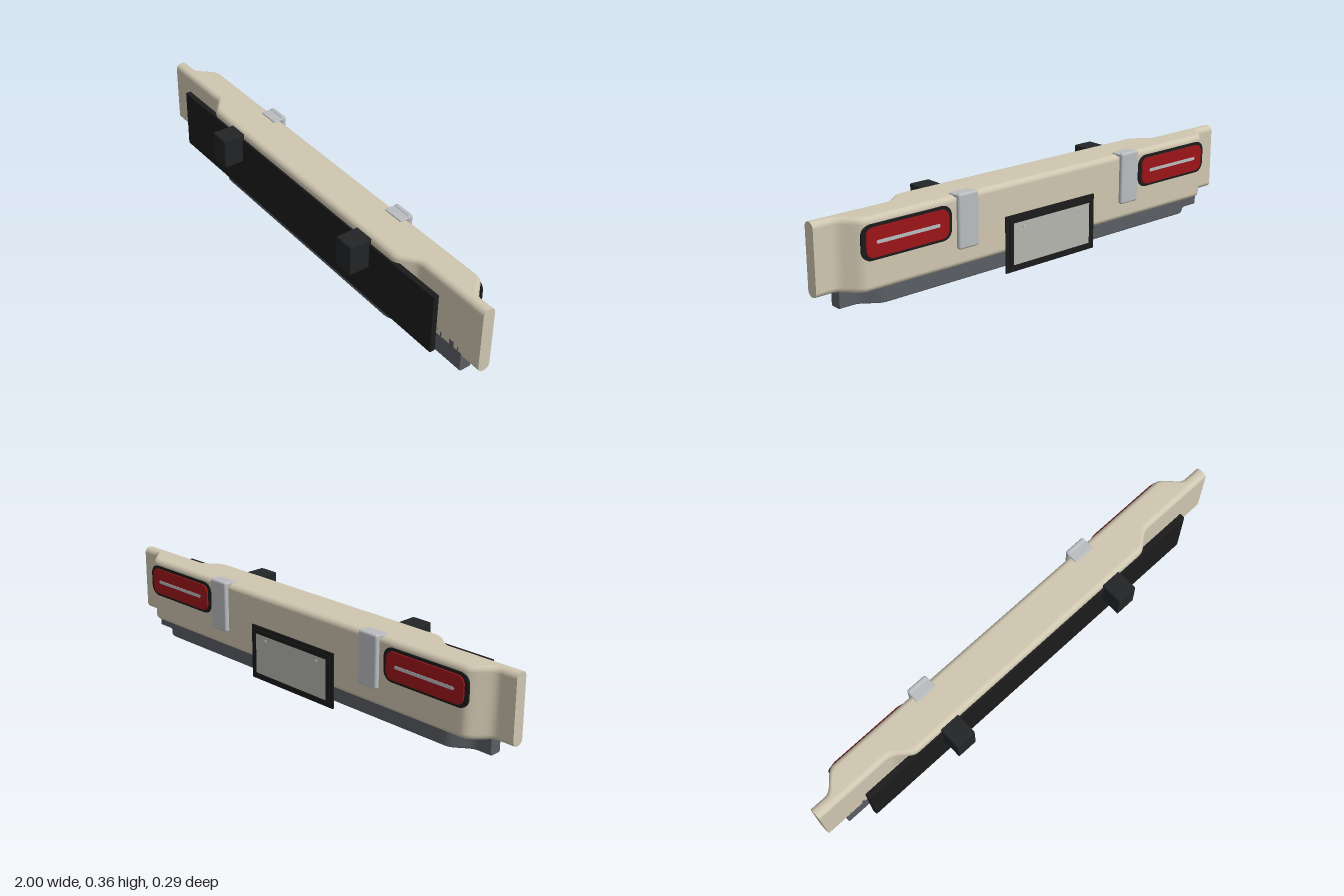
import * as THREE from 'three';
import { RoundedBoxGeometry } from 'three/addons/geometries/RoundedBoxGeometry.js';

const mat = (color) => new THREE.MeshStandardMaterial({ color });
const paint = mat(0xcfc6b0), skirtGrey = mat(0x5a5d63), black = mat(0x1b1b1c), bracketBlack = mat(0x222426);
const silver = mat(0xb9bcc0), red = mat(0x9c1519), plateGrey = mat(0xb5b5b0);

function add(parent, name, geometry, material, x = 0, y = 0, z = 0) {
  const mesh = new THREE.Mesh(geometry, material);
  mesh.name = name;
  mesh.position.set(x, y, z);
  parent.add(mesh);
  return mesh;
}

// Linear interpolation through [x, z] points, averaged over a small window to soften the bends
function softLine(points, x) {
  const at = (v) => {
    for (let i = 1; i < points.length; i++) {
      const [x0, z0] = points[i - 1], [x1, z1] = points[i];
      if (v <= x1) return THREE.MathUtils.lerp(z0, z1, (v - x0) / (x1 - x0));
    }
    return points[points.length - 1][1];
  };
  let sum = 0;
  for (let k = -4; k <= 4; k++) sum += at(Math.abs(x) + k * 0.004);
  return sum / 9;
}

// Rounded-rectangle section swept along x, its front and back edges following two plan lines
function sweptBar(halfLength, y0, y1, radius, front, back) {
  const xs = [];
  for (let i = 0; i <= 50; i++) xs.push(halfLength * (0.5 + i * 0.01));
  const stations = [...xs.map((x) => -x).reverse(), ...xs];
  const ring = [];
  for (let c = 0; c < 4; c++) for (let k = 0; k <= 6; k++) ring.push([c, (c + k / 6) * Math.PI / 2]);
  const n = ring.length, pos = [], index = [];
  const section = (x) => {
    const zf = softLine(front, x), zb = softLine(back, x);
    for (const [c, a] of ring) {
      const cz = (c === 0 || c === 3) ? zb + radius : zf - radius;
      const cy = c < 2 ? y1 - radius : y0 + radius;
      pos.push(x, cy + Math.sin(a) * radius, cz - Math.cos(a) * radius);
    }
  };
  stations.forEach(section);
  for (let i = 0; i < stations.length - 1; i++) {
    for (let j = 0; j < n; j++) {
      const a = i * n + j, b = i * n + (j + 1) % n;
      index.push(a, b, a + n, b, b + n, a + n);
    }
  }
  // Flat end caps with their own vertices
  for (const side of [-1, 1]) {
    const s = pos.length / 3;
    section(side * halfLength);
    for (let j = 1; j < n - 1; j++) {
      if (side > 0) index.push(s, s + j, s + j + 1);
      else index.push(s, s + j + 1, s + j);
    }
  }
  const geo = new THREE.BufferGeometry();
  geo.setAttribute('position', new THREE.Float32BufferAttribute(pos, 3));
  geo.setIndex(index);
  geo.computeVertexNormals();
  return geo;
}

function roundedRect(path, w, h, r) {
  const x = w / 2, y = h / 2;
  path.moveTo(-x + r, -y);
  path.absarc(x - r, -y + r, r, -Math.PI / 2, 0);
  path.absarc(x - r, y - r, r, 0, Math.PI / 2);
  path.absarc(-x + r, y - r, r, Math.PI / 2, Math.PI);
  path.absarc(-x + r, -y + r, r, Math.PI, Math.PI * 1.5);
  path.closePath();
  return path;
}

// Rounded slab centred on its origin, optionally with a rectangular opening
function slab(w, h, r, depth, opening) {
  const shape = roundedRect(new THREE.Shape(), w, h, r);
  if (opening) shape.holes.push(roundedRect(new THREE.Path(), opening[0], opening[1], 0.003));
  return new THREE.ExtrudeGeometry(shape, { depth, bevelEnabled: false, curveSegments: 8 }).translate(0, 0, -depth / 2);
}

export function createModel() {
  const bumper = new THREE.Group();
  bumper.name = 'bumper';

  // Painted beam and the grey skirt below it
  add(bumper, 'beam', sweptBar(1, 0.08, 0.352, 0.022,
    [[0, 0.055], [0.59, 0.055], [0.66, 0], [1.1, 0]],
    [[0, -0.121], [0.85, -0.121], [0.915, -0.05], [1.1, -0.05]]), paint);
  add(bumper, 'lowerSkirt', sweptBar(0.91, 0.02, 0.13, 0.006,
    [[0, 0.035], [0.54, 0.035], [0.61, 0], [1, 0]],
    [[0, -0.102], [0.765, -0.102], [0.835, -0.05], [1, -0.05]]), skirtGrey);

  // Mounting panel on the inner side
  add(bumper, 'mountingPanel', new RoundedBoxGeometry(1.64, 0.25, 0.024, 2, 0.004), black, 0, 0.195, 0.05);

  for (const s of [-1, 1]) {
    const side = new THREE.Group();
    side.name = s > 0 ? 'leftFittings' : 'rightFittings';
    bumper.add(side);

    // Mounting bracket
    add(side, 'bracket', new RoundedBoxGeometry(0.086, 0.125, 0.095, 2, 0.004), bracketBlack, s * 0.418, 0.278, 0.0975);

    // Metal strap hooked over the top edge
    add(side, 'strap', new RoundedBoxGeometry(0.092, 0.21, 0.021, 4, 0.009), silver, s * 0.409, 0.257, -0.1315);
    add(side, 'strapHook', new RoundedBoxGeometry(0.092, 0.011, 0.052, 3, 0.004), silver, s * 0.409, 0.352, -0.109);

    // Tail light: bezel, lens and bright strip
    add(side, 'lightBezel', slab(0.385, 0.131, 0.04, 0.008), black, s * 0.667, 0.262, -0.121);
    add(side, 'lightLens', slab(0.352, 0.108, 0.03, 0.012), red, s * 0.667, 0.262, -0.125);
    add(side, 'lightStrip', slab(0.27, 0.013, 0.006, 0.006), silver, s * 0.667, 0.262, -0.1295);
  }

  // Plate holder, blank plate, raised rim and screws
  const holder = new THREE.Group();
  holder.name = 'plateHolder';
  holder.position.y = 0.112;
  bumper.add(holder);
  add(holder, 'backing', new RoundedBoxGeometry(0.45, 0.224, 0.007, 2, 0.002), black, 0, 0, -0.1235);
  add(holder, 'plate', slab(0.4, 0.182, 0.004, 0.006), plateGrey, 0, 0, -0.13);
  add(holder, 'rim', slab(0.424, 0.2, 0.004, 0.004, [0.388, 0.166]), black, 0, 0, -0.133);
  for (const s of [-1, 1]) {
    const screw = add(holder, 'screw', new THREE.CylinderGeometry(0.007, 0.007, 0.004, 16), silver, s * 0.14, 0.062, -0.134);
    screw.rotation.x = Math.PI / 2;
  }

  return bumper;
}
